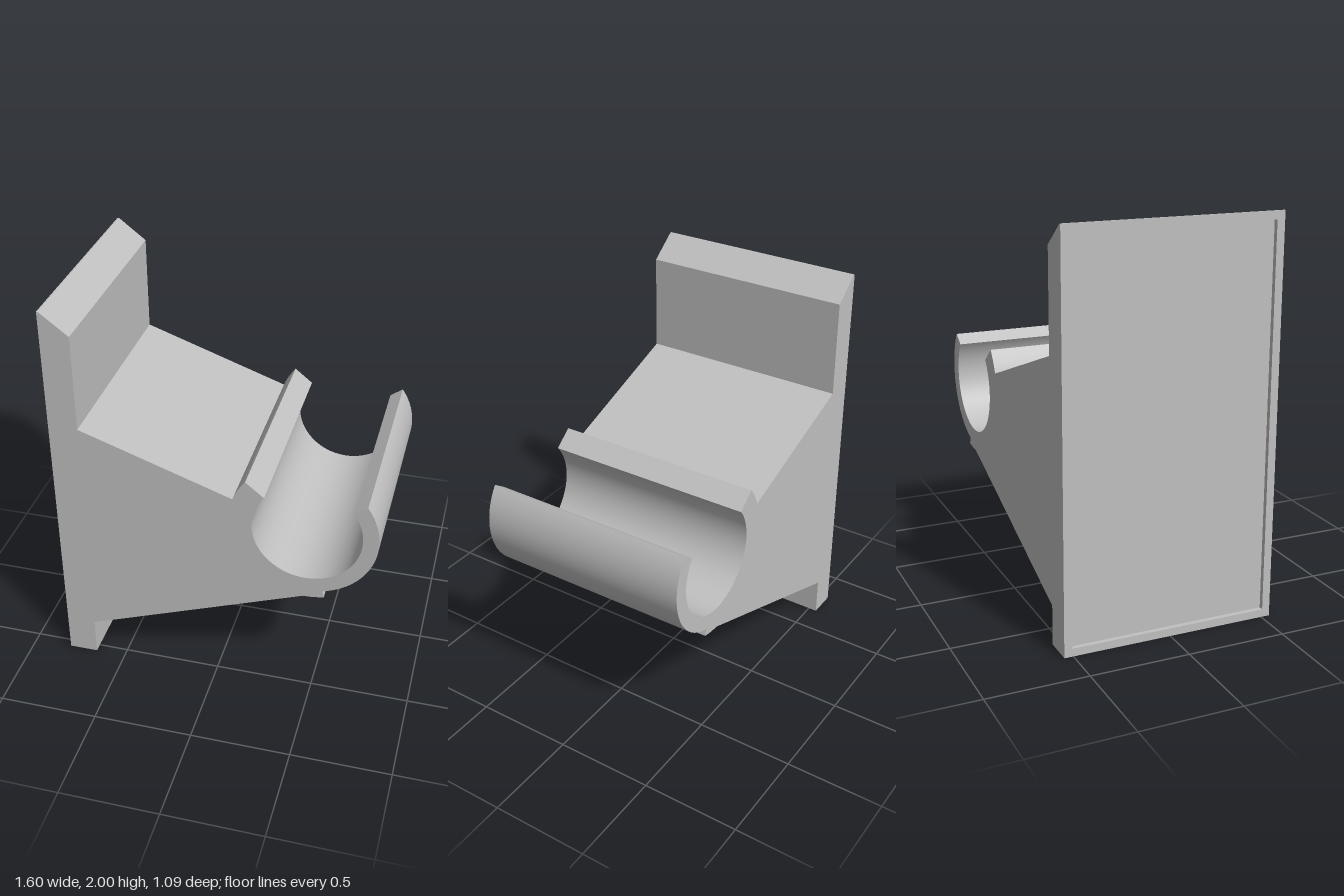
import * as THREE from 'three';
import { toCreasedNormals } from 'three/addons/utils/BufferGeometryUtils.js';

const HALF = 0.545;                 // half depth along z
const BACK = -0.803, FLOOR = -0.779; // back of the rim, floor of the recess
const SHOULDER = -0.656;            // front of the wall plate
const BORDER = 0.04;                // width of the rim
const CX = 0.457, CY = 1.0;         // centre of the clip
const R_IN = 0.267, R_OUT = 0.344, R_PAD = 0.385;
const rad = THREE.MathUtils.degToRad;

// Height of the slanted top of the plate at x
const topAt = (x) => Math.min(2, 1.892 + (SHOULDER - x) * 0.108 / 0.139);

// Points on an arc around the clip centre, angles in degrees
function arc(radius, from, to, steps) {
  const points = [];
  for (let i = 0; i <= steps; i++) {
    const a = rad(from + (to - from) * i / steps);
    points.push([CX + radius * Math.cos(a), CY + radius * Math.sin(a)]);
  }
  return points;
}

// Extrude an xy profile between two z positions
function slab(name, points, z0, z1, material) {
  const shape = new THREE.Shape(points.map(([x, y]) => new THREE.Vector2(x, y)));
  const geometry = new THREE.ExtrudeGeometry(shape, { depth: z1 - z0, bevelEnabled: false });
  geometry.translate(0, 0, z0);
  const mesh = new THREE.Mesh(toCreasedNormals(geometry, rad(15)), material);
  mesh.name = name;
  return mesh;
}

export function createModel() {
  const group = new THREE.Group();
  group.name = 'clipBracket';
  const grey = new THREE.MeshStandardMaterial({ color: 0xc0c0c0 });
  grey.name = 'lightGrey';

  // Wall plate, tapered arm and open clip as one profile
  group.add(slab('bracketBody', [
    [FLOOR, 0], [SHOULDER, 0], [SHOULDER, 0.2],
    ...arc(0.381, -91, -75.4, 6),    // thick pad under the clip
    ...arc(R_OUT, -75.4, 35.5, 40),  // outer face of the free jaw
    ...arc(R_IN, 35.5, -219, 90),    // inside of the clip
    ...arc(R_PAD, 141, 159.6, 8),    // outer face of the fixed jaw
    [SHOULDER, 1.4], [SHOULDER, topAt(SHOULDER)], [FLOOR, topAt(FLOOR)],
  ], -HALF, HALF, grey));

  // Raised rim around the recessed back
  const strip = (y0, y1) => [
    [BACK, y0], [FLOOR, y0], [FLOOR, Math.min(y1, topAt(FLOOR))],
    [-0.795, Math.min(y1, 2)], [BACK, Math.min(y1, 2)],
  ];
  const inner = HALF - BORDER;
  group.add(slab('rimLeftSide', strip(0, 2), inner, HALF, grey));
  group.add(slab('rimRightSide', strip(0, 2), -HALF, -inner, grey));
  group.add(slab('rimBottom', strip(0, BORDER), -inner, inner, grey));
  group.add(slab('rimTop', strip(2 - BORDER, 2), -inner, inner, grey));
  return group;
}
